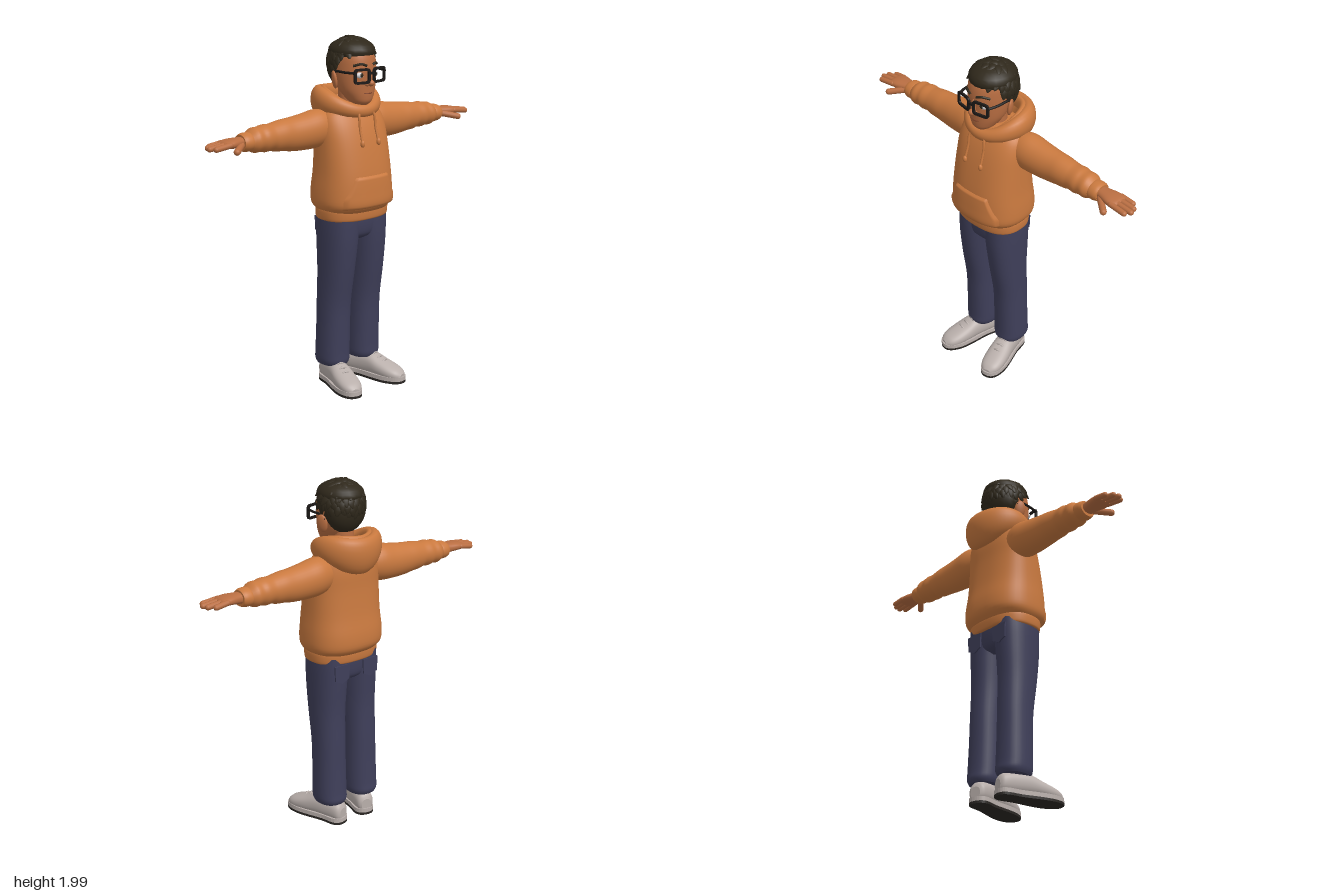
import * as THREE from 'three';
import { mergeGeometries } from 'three/addons/utils/BufferGeometryUtils.js';

const V = (x, y, z) => new THREE.Vector3(x, y, z);
const mat = (name, color, side = THREE.FrontSide) => {
  const m = new THREE.MeshStandardMaterial({ color, side });
  m.name = name;
  return m;
};

// Surface made of closed loops of nu points, fn(angle, t) giving each point
function surface(nu, nv, fn, ring = false) {
  const pos = [], idx = [], rows = ring ? nv : nv + 1;
  for (let j = 0; j < rows; j++)
    for (let i = 0; i < nu; i++) pos.push(...fn((i / nu) * Math.PI * 2, j / nv));
  for (let j = 0; j < nv; j++)
    for (let i = 0; i < nu; i++) {
      const k = (i + 1) % nu, a = j * nu, b = ((j + 1) % rows) * nu;
      idx.push(a + i, a + k, b + k, a + i, b + k, b + i);
    }
  if (!ring) for (const t of [0, 1]) { // end caps
    const s = pos.length / 3, c = [0, 0, 0];
    for (let i = 0; i < nu; i++) {
      const p = fn((i / nu) * Math.PI * 2, t);
      pos.push(...p);
      p.forEach((q, n) => (c[n] += q / nu));
    }
    pos.push(...c);
    for (let i = 0; i < nu; i++) {
      const k = (i + 1) % nu;
      idx.push(s + nu, s + (t ? i : k), s + (t ? k : i));
    }
  }
  const g = new THREE.BufferGeometry();
  g.setAttribute('position', new THREE.Float32BufferAttribute(pos, 3));
  g.setIndex(idx);
  g.computeVertexNormals();
  return g;
}

// Smooth sampling of section rows [along, centreU, centreV, radiusU, radiusV]
function sample(rows, t) {
  const f = t * (rows.length - 1), i = Math.min(Math.floor(f), rows.length - 2), w = f - i;
  const at = (n) => rows[Math.max(0, Math.min(rows.length - 1, n))];
  return rows[i].map((p1, k) => {
    const p0 = at(i - 1)[k], p2 = at(i + 1)[k], p3 = at(i + 2)[k];
    return p1 + 0.5 * w * (p2 - p0 + w * (2 * p0 - 5 * p1 + 4 * p2 - p3 + w * (3 * (p1 - p2) + p3 - p0)));
  });
}
// Loft along an axis: x uses (y,z), y uses (z,x), z uses (x,y)
function loft(axis, rows, p = 2, nu = 32) {
  const pw = (c) => Math.sign(c) * Math.abs(c) ** (2 / p);
  return surface(nu, (rows.length - 1) * 4, (a, t) => {
    const [s, cu, cv, ru, rv] = sample(rows, t);
    const u = cu + ru * pw(Math.cos(a)), v = cv + rv * pw(Math.sin(a));
    return axis === 'x' ? [s, u, v] : axis === 'y' ? [v, s, u] : [u, v, s];
  });
}
function mirrored(geo) {
  const g = geo.clone().scale(-1, 1, 1);
  const n = g.index ? g.index.count : g.attributes.position.count;
  const idx = Array.from({ length: n }, (_, i) => (g.index ? g.index.getX(i) : i));
  for (let i = 0; i < n; i += 3) [idx[i], idx[i + 1]] = [idx[i + 1], idx[i]];
  g.setIndex(idx);
  return g;
}
const tube = (pts, r, n = 16) =>
  new THREE.TubeGeometry(new THREE.CatmullRomCurve3(pts), n, r, 8);
const ball = (x, y, z, rx, ry, rz) => new THREE.SphereGeometry(1, 20, 14).scale(rx, ry, rz).translate(x, y, z);
function finger(a, b, r) {
  const d = b.clone().sub(a), g = new THREE.CapsuleGeometry(r, d.length(), 5, 12);
  g.applyQuaternion(new THREE.Quaternion().setFromUnitVectors(V(0, 1, 0), d.normalize()));
  return g.translate((a.x + b.x) / 2, (a.y + b.y) / 2, (a.z + b.z) / 2);
}
function roundRect(Type, w, h, r) {
  const s = new Type(), x = w / 2, y = h / 2;
  s.moveTo(-x + r, -y).lineTo(x - r, -y).quadraticCurveTo(x, -y, x, -y + r)
    .lineTo(x, y - r).quadraticCurveTo(x, y, x - r, y).lineTo(-x + r, y)
    .quadraticCurveTo(-x, y, -x, y - r).lineTo(-x, -y + r).quadraticCurveTo(-x, -y, -x + r, -y);
  return s;
}

export function createModel() {
  const root = new THREE.Group();
  const cloth = mat('orangeCloth', 0xc9793f), skin = mat('skin', 0xb96e42), denim = mat('navyDenim', 0x3f3f5a);
  const shoe = mat('shoeGrey', 0xb9afab), sole = mat('soleBlack', 0x2b2724), hair = mat('hairBrown', 0x2f281b);
  const frame = mat('frameBlack', 0x1c1917), white = mat('eyeWhite', 0xd8d8dc);
  const shirt = mat('shirtGrey', 0xb4b2b6), lip = mat('lipBrown', 0x84452b);
  const add = (name, geo, m) => {
    const mesh = new THREE.Mesh(geo, m);
    mesh.name = name;
    root.add(mesh);
  };
  const pair = (name, geo, m) => {
    add(name + 'Left', geo, m);
    add(name + 'Right', mirrored(geo), m);
  };

  // Hoodie body and hem
  const torso = [[1.035, -.008, 0, .155, .203], [1.075, -.01, 0, .187, .228], [1.15, -.011, 0, .189, .23],
    [1.26, -.008, 0, .176, .222], [1.4, -.016, 0, .157, .217], [1.5, -.03, 0, .141, .214],
    [1.57, -.042, 0, .12, .195], [1.61, -.05, 0, .1, .15], [1.63, -.05, 0, .07, .1]];
  add('hoodieBody', loft('y', torso, 2.5, 48), cloth);
  add('hoodieHem', loft('y', [[.985, -.01, 0, .142, .2], [.995, -.01, 0, .152, .21], [1.04, -.01, 0, .156, .212],
    [1.055, -.01, 0, .148, .205]], 2.5, 48), cloth);

  // Front pocket, wrapped onto the body
  const frontZ = (x, y) => {
    let lo = 0, hi = 1;
    for (let i = 0; i < 24; i++) {
      const m = (lo + hi) / 2;
      if (sample(torso, m)[0] < y) lo = m; else hi = m;
    }
    const [, cz, , rz, rx] = sample(torso, lo);
    return cz + rz * Math.max(0, 1 - Math.abs(x / rx) ** 2.5) ** 0.4;
  };
  const pocket = new THREE.PlaneGeometry(2, 1, 24, 16), pp = pocket.attributes.position;
  for (let i = 0; i < pp.count; i++) {
    const u = pp.getX(i), v = pp.getY(i) + .5;
    const w = v < .35 ? .185 : .185 - .07 * ((v - .35) / .65) ** .8;
    const y = 1.055 + v * .19, x = u * w;
    const edge = Math.abs(u) > .99 || v < .01 || v > .99;
    pp.setXYZ(i, x, y, frontZ(x, y) + (edge ? -.008 : .011));
  }
  pocket.computeVertexNormals();
  add('frontPocket', pocket, cloth);

  // Hood lying round the neck, with a folded rim inside
  const hood = (R, size, dy) => surface(20, 56, (a, t) => {
    const b = t * Math.PI * 2, k = (1 - Math.cos(b)) / 2, s2 = Math.sin(b) ** 2;
    const ru = size * (.028 + .02 * k + .012 * s2), rv = size * (.034 + .07 * k ** 2 + .022 * s2);
    const r = R + ru * Math.cos(a) + (dy ? 0 : .012 * Math.sin(-a) * k);
    return [Math.sin(b) * r, 1.59 + .012 * k + .035 * s2 + dy * (.2 + .8 * k) - rv * Math.sin(a), -.05 + Math.cos(b) * r];
  }, true);
  add('hood', hood(.148, 1, 0), cloth);
  add('hoodRim', hood(.13, .45, .062), cloth);
  add('shirtCollar', loft('y', [[1.5, -.01, 0, .08, .085], [1.56, -.008, 0, .08, .08], [1.605, -.015, 0, .072, .072]]), shirt);

  // Drawstrings with knots
  pair('drawstring', tube([V(.045, 1.6, .105), V(.055, 1.56, .118), V(.056, 1.5, .126), V(.058, 1.42, .15)], .007), cloth);
  pair('drawstringKnot', ball(.058, 1.42, .15, .013, .02, .012), cloth);

  // Sleeves and cuffs
  pair('sleeve', loft('x', [[.12, 1.5, -.055, .085, .075], [.21, 1.497, -.064, .105, .092], [.3, 1.488, -.067, .1, .088],
    [.39, 1.484, -.07, .092, .08], [.45, 1.486, -.07, .085, .078], [.5, 1.484, -.07, .079, .074], [.53, 1.486, -.07, .072, .072],
    [.57, 1.485, -.07, .074, .075], [.6, 1.485, -.07, .067, .07], [.635, 1.483, -.07, .067, .073], [.665, 1.48, -.07, .05, .058]]), cloth);
  pair('sleeveCuff', loft('x', [[.655, 1.48, -.07, .046, .054], [.67, 1.48, -.07, .051, .06], [.7, 1.48, -.07, .05, .059],
    [.718, 1.48, -.07, .043, .052]]), cloth);

  // Hands
  pair('palm', loft('x', [[.7, 1.482, -.07, .03, .036], [.74, 1.484, -.067, .028, .043], [.79, 1.486, -.065, .025, .055],
    [.83, 1.484, -.065, .02, .055], [.845, 1.482, -.065, .012, .048]], 2.4), skin);
  [[-.11, .885], [-.08, .915], [-.05, .924], [-.02, .905]].forEach(([z, x], i) =>
    pair('finger' + (i + 1), finger(V(.815, 1.486, z), V(x, 1.476, z * 1.05 + .003), .0155), skin));
  pair('thumb', finger(V(.735, 1.473, -.035), V(.805, 1.456, .022), .018), skin);

  // Trousers
  pair('trouserLeg', loft('y', [[.125, -.05, .112, .09, .078], [.15, -.05, .112, .101, .088], [.2, -.048, .112, .099, .09],
    [.35, -.043, .111, .098, .088], [.5, -.037, .11, .101, .087], [.68, -.02, .108, .114, .09], [.84, -.014, .104, .128, .097],
    [.95, -.014, .1, .134, .102], [1.02, -.014, .1, .134, .1]], 2.3), denim);
  add('trouserSeat', loft('y', [[.86, -.015, 0, .07, .07], [.89, -.015, 0, .115, .15], [.95, -.014, 0, .128, .19],
    [1.02, -.014, 0, .13, .195]], 2.4), denim);
  const patch = new THREE.Shape();
  patch.moveTo(-.052, .05).lineTo(.052, .05).lineTo(.048, -.035).lineTo(0, -.058).lineTo(-.048, -.035);
  pair('backPocket', new THREE.ExtrudeGeometry(patch, { depth: .008, bevelEnabled: false })
    .translate(.1, .93, -.153), denim);

  // Shoes, turned slightly outwards
  const place = (g) => g.rotateY(.24).translate(.11, 0, -.05);
  pair('shoeUpper', place(loft('z', [[-.097, 0, .06, .03, .035], [-.075, 0, .07, .05, .057], [0, 0, .078, .055, .065],
    [.08, 0, .08, .06, .066], [.15, 0, .066, .066, .053], [.22, 0, .052, .064, .042], [.265, 0, .043, .05, .032],
    [.29, 0, .035, .024, .017]], 2.3)), shoe);
  const half = [[.03, -.1], [.055, -.07], [.055, .02], [.068, .14], [.068, .21], [.05, .27], [.022, .295]];
  const outline = new THREE.Shape(new THREE.CatmullRomCurve3(
    [...half.map(([x, z]) => V(x, -z, 0)), ...half.map(([x, z]) => V(-x, -z, 0)).reverse()], true)
    .getPoints(56).slice(0, -1).map((p) => new THREE.Vector2(p.x, p.y)));
  const slab = (y, h) => place(new THREE.ExtrudeGeometry(outline, { depth: h, bevelEnabled: false }).rotateX(-Math.PI / 2).translate(0, y, 0));
  pair('midsole', slab(.014, .024), shoe);
  pair('outsole', slab(0, .014), sole);
  [[.09, .143], [.125, .126], [.16, .112]].forEach(([z, y], i) =>
    pair('lace' + (i + 1), place(tube([V(-.042, y - .022, z), V(0, y + .004, z + .008), V(.042, y - .022, z)], .006)), shoe));

  // Head, neck and ears
  add('neck', loft('y', [[1.5, -.04, 0, .065, .065], [1.6, -.035, 0, .058, .058], [1.74, -.03, 0, .06, .062]]), skin);
  add('head', loft('y', [[1.622, .075, 0, .03, .03], [1.642, .06, 0, .064, .06], [1.67, .047, 0, .083, .08], [1.71, .03, 0, .102, .1],
    [1.77, .012, 0, .123, .112], [1.83, 0, 0, .138, .116], [1.9, -.005, 0, .128, .11], [1.95, -.005, 0, .08, .07]], 2.1, 40), skin);
  pair('ear', new THREE.SphereGeometry(1, 18, 12).scale(.014, .05, .032).rotateY(.45).rotateZ(-.15).translate(.125, 1.762, -.008), skin);
  add('nose', mergeGeometries([ball(0, 1.748, .147, .021, .018, .024), ball(.016, 1.742, .138, .013, .012, .014),
    ball(-.016, 1.742, .138, .013, .012, .014), ball(0, 1.78, .135, .013, .042, .017)]), skin);
  add('mouth', tube([V(-.036, 1.695, .119), V(-.018, 1.69, .129), V(0, 1.689, .132), V(.018, 1.69, .129), V(.036, 1.695, .119)], .0035), lip);
  pair('eye', ball(.05, 1.792, .119, .026, .017, .014), white);
  pair('iris', ball(.049, 1.792, .13, .011, .012, .005), hair);
  pair('eyebrow', tube([V(.02, 1.842, .138), V(.05, 1.852, .13), V(.085, 1.842, .1)], .007), hair);

  // Glasses
  const rim = roundRect(THREE.Shape, .102, .084, .022);
  rim.holes.push(roundRect(THREE.Path, .076, .058, .014));
  pair('glassesRim', new THREE.ExtrudeGeometry(rim, { depth: .012, bevelEnabled: false, curveSegments: 6 })
    .rotateY(.18).translate(.06, 1.789, .142), frame);
  add('glassesBridge', new THREE.BoxGeometry(.03, .012, .012).translate(0, 1.803, .158), frame);
  pair('glassesTemple', tube([V(.108, 1.808, .138), V(.121, 1.808, .08), V(.124, 1.806, 0), V(.122, 1.785, -.03)], .007), frame);

  // Hair: a cap under rows of overlapping locks flowing from the crown
  add('hairCap', mergeGeometries([ball(0, 1.825, -.05, .122, .125, .092), ball(0, 1.91, -.008, .125, .072, .138)]), hair);
  const locks = [], count = 210, crown = V(.01, 2.02, -.04);
  let seed = 7;
  const rnd = () => (seed = (seed * 16807) % 2147483647) / 2147483647;
  for (let i = 0; i < count; i++) {
    const h = 1 - (2 * (i + .5)) / count, r = Math.sqrt(1 - h * h), a = i * 2.39996;
    const n = V(r * Math.cos(a), h, r * Math.sin(a));
    const p = V(n.x * .122, 1.858 + n.y * .12, -.012 + n.z * .126);
    if (p.y < (p.z < -.03 ? 1.755 : p.z < .03 ? 1.85 : 1.905)) continue;
    const d = p.clone().sub(crown).add(V((rnd() - .5) * .1, 0, (rnd() - .5) * .1));
    d.addScaledVector(n, -d.dot(n)).normalize().addScaledVector(n, .12 + rnd() * .3).normalize();
    const s = V(0, 0, 0).crossVectors(d, n).normalize(), up = V(0, 0, 0).crossVectors(s, d);
    const g = new THREE.SphereGeometry(1, 10, 8), q = g.attributes.position;
    for (let k = 0; k < q.count; k++) { // leaf with a pointed tip
      const y = q.getY(k), taper = y > 0 ? 1 - .45 * y : 1;
      q.setXYZ(k, q.getX(k) * .027 * taper, y * (.04 + (i % 3) * .004), q.getZ(k) * .014 * taper + .006 * y * y);
    }
    g.computeVertexNormals();
    g.applyMatrix4(new THREE.Matrix4().makeBasis(s, d, up.negate()));
    if (s.clone().cross(d).dot(up) < 0) g.index.array.reverse();
    g.computeVertexNormals();
    locks.push(g.translate(p.x, p.y, p.z));
  }
  add('hairLocks', mergeGeometries(locks), hair);
  return root;
}
